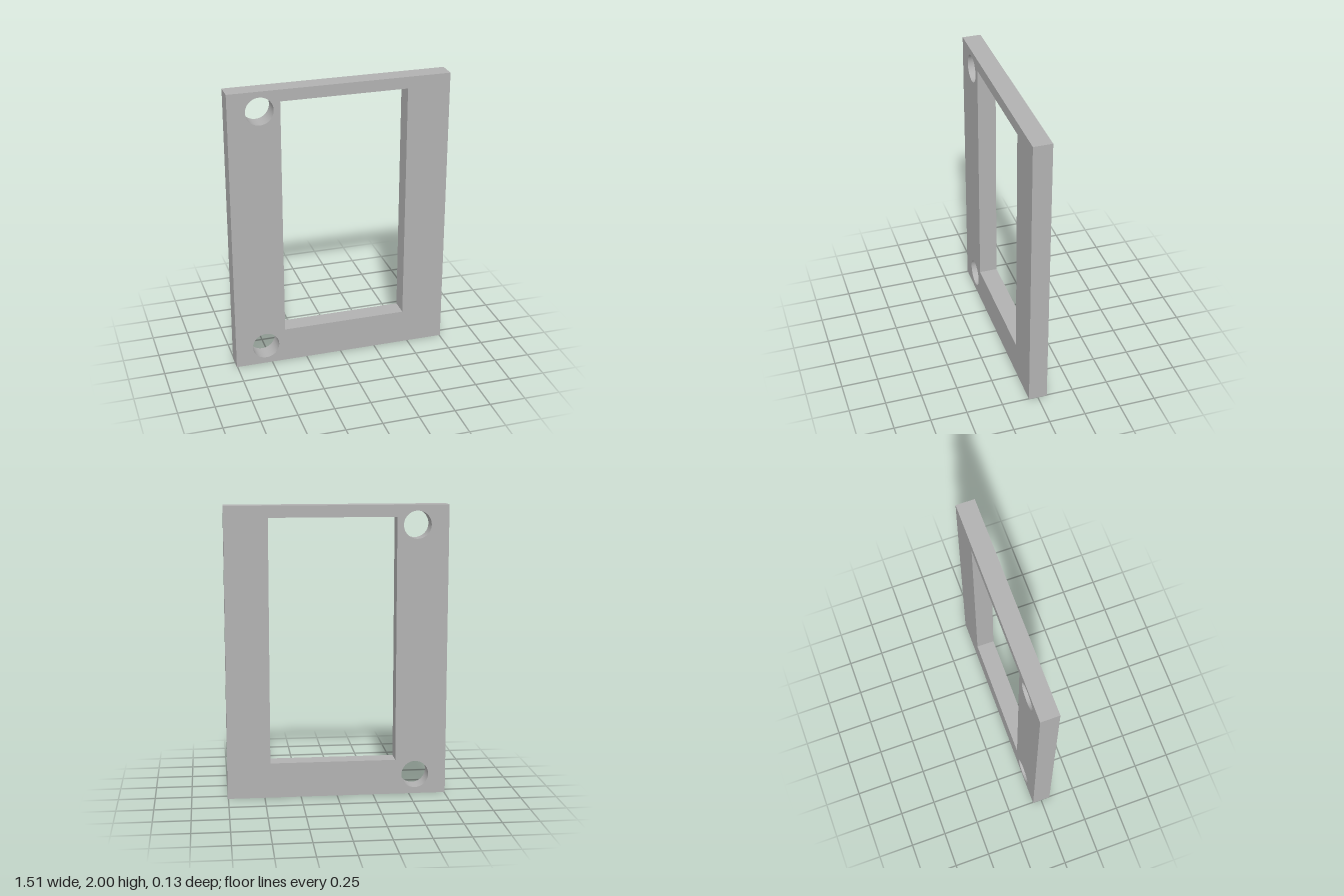
import * as THREE from 'three';

const WIDTH = 1.51, HEIGHT = 2, DEPTH = 0.127;

// Closed rectangle outline from two opposite corners
function rectangle(PathType, x0, y0, x1, y1) {
  return new PathType([
    new THREE.Vector2(x0, y0), new THREE.Vector2(x1, y0),
    new THREE.Vector2(x1, y1), new THREE.Vector2(x0, y1),
  ]);
}

export function createModel() {
  const group = new THREE.Group();
  group.name = 'mountingFrame';

  const grey = new THREE.MeshStandardMaterial({ color: 0xb2b2b2 });
  grey.name = 'grey';

  // Plate outline with an off-centre window
  const outline = rectangle(THREE.Shape, -WIDTH / 2, 0, WIDTH / 2, HEIGHT);
  outline.holes.push(rectangle(THREE.Path, -0.404, 0.243, 0.46, 1.92));

  // Two screw holes along the right edge
  for (const y of [0.137, 1.866]) {
    outline.holes.push(new THREE.Path().absarc(-0.542, y, 0.094, 0, Math.PI * 2, true));
  }

  const geometry = new THREE.ExtrudeGeometry(outline, {
    depth: DEPTH, bevelEnabled: false, curveSegments: 48,
  });
  geometry.translate(0, 0, -DEPTH / 2);

  const plate = new THREE.Mesh(geometry, grey);
  plate.name = 'framePlate';
  group.add(plate);
  return group;
}
